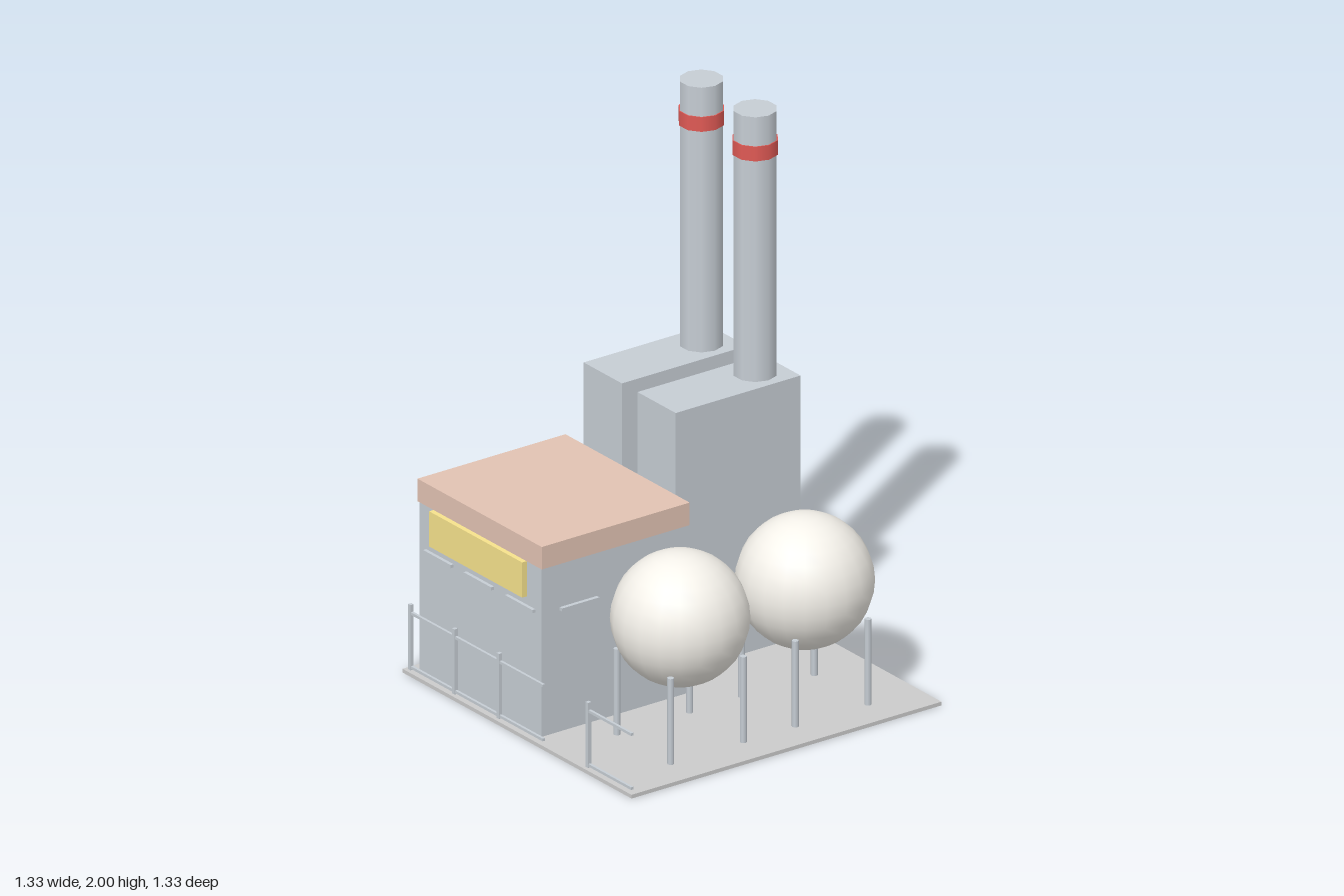
import * as THREE from 'three';

const mat = (color) => new THREE.MeshStandardMaterial({ color });

export function createModel() {
  const model = new THREE.Group();
  model.name = 'powerPlant';
  const grey = mat(0xcccccc);
  const steel = mat(0xc6cdd4);
  const tan = mat(0xe2c3b3);
  const red = mat(0xe05a55);
  const yellow = mat(0xf6e28c);
  const white = mat(0xf4f1ea);

  const add = (name, geometry, material, x, y, z, parent = model) => {
    const mesh = new THREE.Mesh(geometry, material);
    mesh.name = name;
    mesh.position.set(x, y, z);
    parent.add(mesh);
    return mesh;
  };
  // Box given by its limits on each axis
  const box = (name, material, [x0, x1], [y0, y1], [z0, z1], parent) =>
    add(name, new THREE.BoxGeometry(x1 - x0, y1 - y0, z1 - z0), material,
      (x0 + x1) / 2, (y0 + y1) / 2, (z0 + z1) / 2, parent);
  const group = (name) => {
    const g = new THREE.Group();
    g.name = name;
    model.add(g);
    return g;
  };

  const ground = 0.014;
  box('basePlate', grey, [-0.665, 0.665], [0, ground], [-0.665, 0.665]);

  // Two boiler blocks with banded chimneys
  for (const x of [-0.4925, -0.18]) {
    const unit = group('boilerUnit');
    box('boilerBlock', steel, [x - 0.111, x + 0.111], [ground, 1], [-0.603, -0.067], unit);
    const tube = (name, r, y0, y1, material) => {
      const geometry = new THREE.CylinderGeometry(r, r, y1 - y0, 10).rotateY(Math.PI / 2);
      add(name, geometry, material, x, (y0 + y1) / 2, -0.49, unit);
    };
    tube('chimney', 0.078, 1, 2, steel);
    tube('chimneyBand', 0.082, 1.835, 1.89, red);
  }

  // Main hall with overhanging roof and blank sign board
  const hall = group('hall');
  box('hallWalls', steel, [-0.623, 0.085], [ground, 0.65], [-0.002, 0.623], hall);
  box('hallRoof', tan, [-0.63, 0.092], [0.65, 0.735], [-0.008, 0.627], hall);
  box('signBoard', yellow, [-0.54, 0], [0.515, 0.648], [0.623, 0.643], hall);

  // Thin ledges on all four walls
  const ledgeY = [0.472, 0.484];
  for (const x of [-0.505, -0.27, -0.03]) {
    for (const z of [[-0.015, 0], [0.62, 0.636]]) {
      box('ledge', steel, [x - 0.08, x + 0.08], ledgeY, z, hall);
    }
  }
  for (const z of [0.155, 0.465]) {
    for (const x of [[-0.638, -0.62], [0.08, 0.1]]) {
      box('ledge', steel, x, ledgeY, [z - 0.08, z + 0.08], hall);
    }
  }

  // Spherical storage tanks on four legs each
  for (const z of [0.243, -0.292]) {
    const tank = group('storageTank');
    add('tankSphere', new THREE.SphereGeometry(0.243, 20, 16), white, 0.376, 0.47, z, tank);
    for (const sx of [-1, 1]) {
      for (const sz of [-1, 1]) {
        const leg = new THREE.CylinderGeometry(0.0125, 0.0125, 0.325, 8);
        add('tankLeg', leg, steel, 0.376 + sx * 0.156, ground + 0.1615, z + sz * 0.156, tank);
      }
    }
  }

  // Front fence in two runs, leaving an entrance gap
  const runs = [
    { rail: [-0.652, 0.127], posts: [-0.645, -0.389, -0.131] },
    { rail: [0.378, 0.64], posts: [0.386] },
  ];
  for (const { rail, posts } of runs) {
    const fence = group('fence');
    for (const y of [0.024, 0.228]) {
      box('fenceRail', steel, rail, [y - 0.005, y + 0.005], [0.639, 0.649], fence);
    }
    for (const x of posts) {
      box('fencePost', steel, [x - 0.007, x + 0.007], [ground, 0.26], [0.637, 0.651], fence);
    }
  }
  return model;
}
